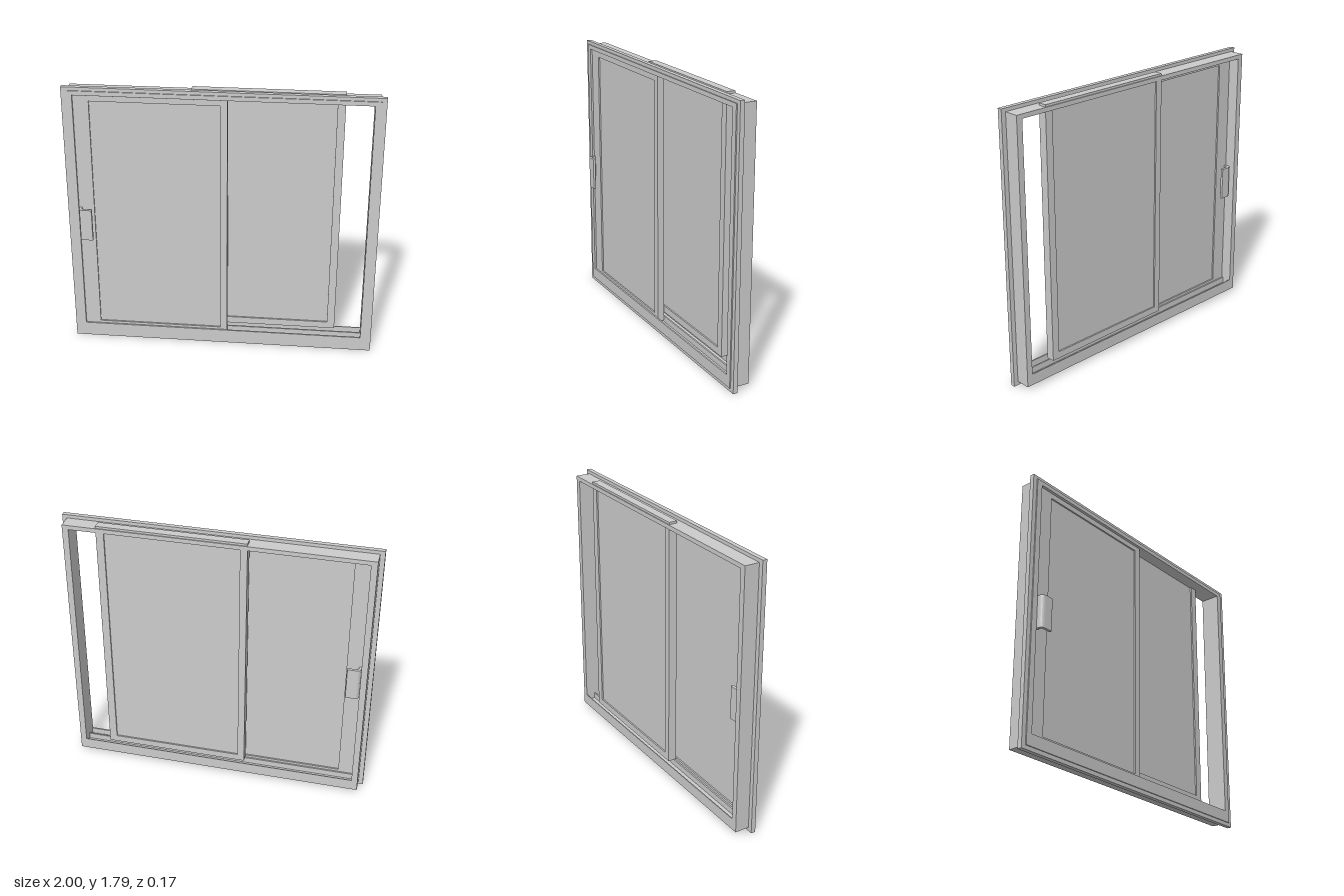
import * as THREE from 'three';

const material = new THREE.MeshStandardMaterial({ color: 0xcccccc });

// Rectangle outline, usable as a shape or a hole
function rect(Type, x0, x1, y0, y1) {
  const p = new Type();
  p.moveTo(x0, y0);
  p.lineTo(x1, y0);
  p.lineTo(x1, y1);
  p.lineTo(x0, y1);
  p.closePath();
  return p;
}

function add(parent, name, geometry) {
  const mesh = new THREE.Mesh(geometry, material);
  mesh.name = name;
  parent.add(mesh);
  return mesh;
}

// Flat ring between an outer and an inner rectangle, from z0 to z1
function ring(outer, inner, z0, z1) {
  const shape = rect(THREE.Shape, ...outer);
  shape.holes.push(rect(THREE.Path, ...inner));
  const g = new THREE.ExtrudeGeometry(shape, { depth: z1 - z0, bevelEnabled: false });
  return g.translate(0, 0, z0);
}

function box(x0, x1, y0, y1, z0, z1) {
  const g = new THREE.BoxGeometry(x1 - x0, y1 - y0, z1 - z0);
  return g.translate((x0 + x1) / 2, (y0 + y1) / 2, (z0 + z1) / 2);
}

// Sash: a border ring with a slightly recessed pane on both sides
function sash(name, outer, inner, z0, z1) {
  const group = new THREE.Group();
  group.name = name;
  const recess = 0.01;
  add(group, name + 'Border', ring(outer, inner, z0, z1));
  add(group, name + 'Pane', box(...inner, z0 + recess, z1 - recess));
  return group;
}

// Hooked pull: short leg, rounded bend and flat grip; dir is +1 front, -1 back
function handle(name, faceZ, dir) {
  const reach = 0.05;
  const z = (d) => faceZ + dir * d;
  const s = new THREE.Shape();
  s.moveTo(-0.925, z(-0.005));
  s.lineTo(-0.925, z(reach - 0.03));
  s.quadraticCurveTo(-0.925, z(reach), -0.895, z(reach));
  s.lineTo(-0.845, z(reach));
  s.quadraticCurveTo(-0.838, z(reach), -0.838, z(reach - 0.009));
  s.quadraticCurveTo(-0.838, z(reach - 0.018), -0.845, z(reach - 0.018));
  s.lineTo(-0.893, z(reach - 0.018));
  s.quadraticCurveTo(-0.909, z(reach - 0.018), -0.909, z(reach - 0.032));
  s.lineTo(-0.909, z(-0.005));
  s.closePath();
  const g = new THREE.ExtrudeGeometry(s, { depth: 0.215, bevelEnabled: false, curveSegments: 6 });
  g.rotateX(Math.PI / 2).translate(0, 0.97, 0);
  const group = new THREE.Group();
  group.name = name;
  add(group, name + 'Grip', g);
  return group;
}

export function createModel() {
  const model = new THREE.Group();
  model.name = 'slidingWindow';

  // Outer frame with a thin flange around it
  const frame = new THREE.Group();
  frame.name = 'frame';
  model.add(frame);
  add(frame, 'frameBox', ring([-0.97, 0.97, 0.025, 1.768], [-0.93, 0.93, 0.06, 1.74], -0.085, 0.048));
  add(frame, 'flange', ring([-1, 1, 0, 1.79], [-0.965, 0.965, 0.03, 1.763], 0.011, 0.041));

  // Sill lips that form the two sliding channels
  [[0.038, 0.048], [-0.022, -0.012], [-0.085, -0.079]].forEach(([z0, z1], i) => {
    add(frame, 'sillTrack' + (i + 1), box(-0.93, 0.93, 0.06, 0.1, z0, z1));
  });

  // Front sash, sitting in the front channel
  model.add(sash('frontSash', [-0.94, 0.035, 0.07, 1.735], [-0.83, -0.01, 0.115, 1.7], -0.01, 0.035));

  // Rear sash, slid partly open and raised into the head
  model.add(sash('rearSash', [-0.195, 0.755, 0.12, 1.782], [-0.15, 0.705, 0.165, 1.74], -0.079, -0.023));

  // Pulls on both faces of the front sash
  model.add(handle('frontHandle', 0.035, 1));
  model.add(handle('rearHandle', -0.01, -1));

  return model;
}
